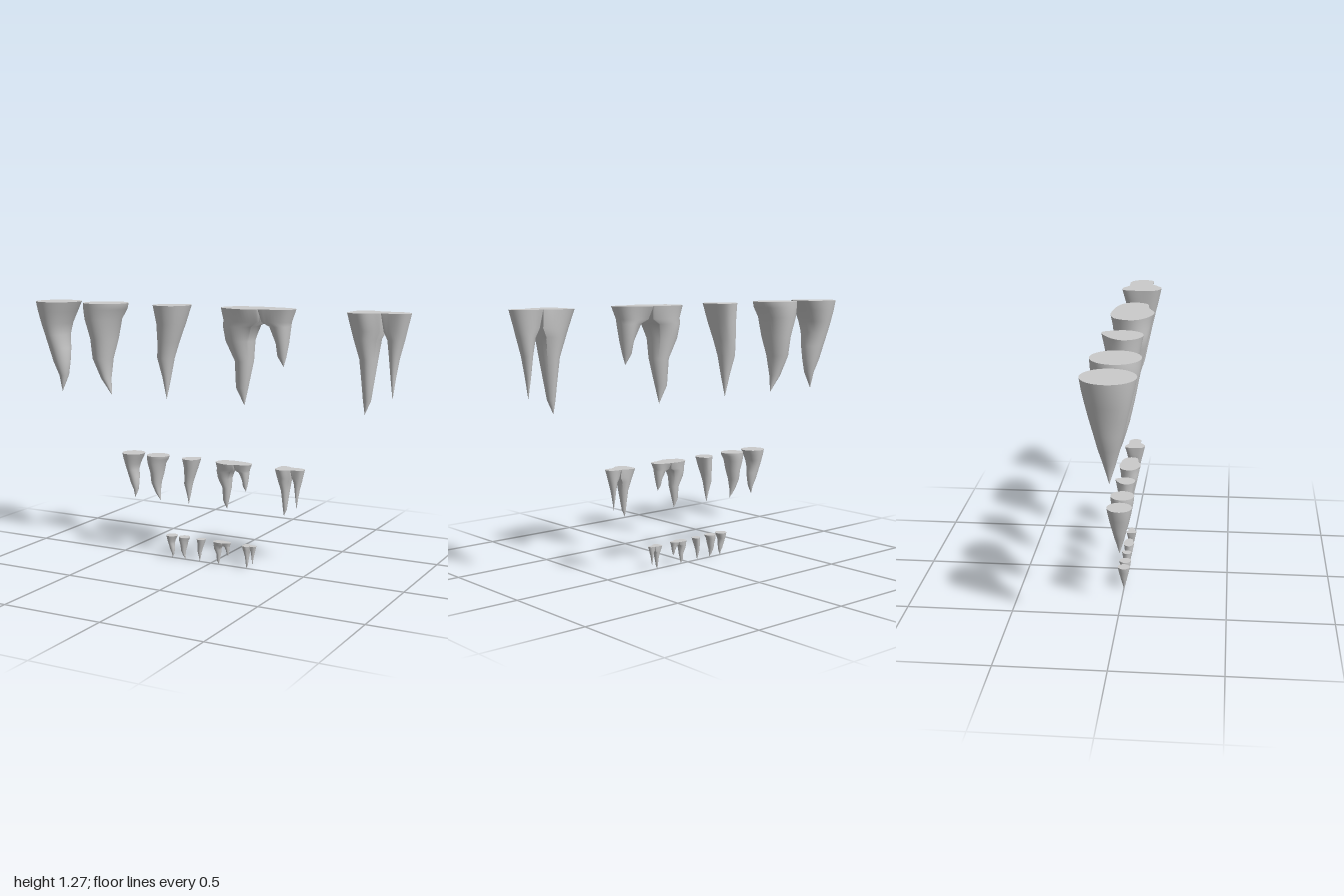
import * as THREE from 'three';

const TOP = 1.27, SEG = 56;
const material = new THREE.MeshStandardMaterial({ color: 0xcccccc });

// Smooth closed outline of a base, from a few [x, z] points (left, back, right, front)
function outline(points) {
  const curve = new THREE.CatmullRomCurve3(points.map(([x, z]) => new THREE.Vector3(x, 0, z)), true);
  return curve.getSpacedPoints(SEG).slice(0, SEG).map(p => [p.x, p.z]);
}

const round = (x0, x1, z0, z1) => outline(Array.from({ length: 12 }, (_, i) => {
  const a = Math.PI + i * Math.PI / 6;
  return [(x0 + x1) / 2 + Math.cos(a) * (x1 - x0) / 2, (z0 + z1) / 2 + Math.sin(a) * (z1 - z0) / 2];
}));

// Keep the part of an outline on one side of x = cut, closing it with a straight wall
function half(points, cut, side) {
  const zs = points.filter(p => (p[0] - cut) * side > 0).map(p => p[1]);
  const lo = Math.min(...zs), hi = Math.max(...zs);
  return points.map(([x, z]) => [
    side > 0 ? Math.max(x, cut) : Math.min(x, cut),
    Math.min(hi, Math.max(lo, z)),
  ]);
}

// Loft from the base outline down through rings [y, left x, right x, depth factor]
function spike(base, rings) {
  const xs = base.map(p => p[0]), zs = base.map(p => p[1]);
  const x0 = Math.min(...xs), x1 = Math.max(...xs), z0 = Math.min(...zs), z1 = Math.max(...zs);
  const unit = base.map(([x, z]) => [(2 * x - x0 - x1) / (x1 - x0), (2 * z - z0 - z1) / (z1 - z0)]);
  const levels = [[TOP, x0, x1, 1], ...rings];
  const pos = [], idx = [];
  for (const [y, a, b, f] of levels) {
    const w = Math.min(1, (TOP - y) / 0.16); // outline turns into an ellipse lower down
    for (const [u, v] of unit) {
      const s = 1 - w + w / Math.max(0.2, Math.hypot(u, v));
      pos.push((a + b) / 2 + u * s * (b - a) / 2, y - TOP,
        f * ((z0 + z1) / 2 + v * s * (z1 - z0) / 2));
    }
  }
  for (let k = 0; k < levels.length - 1; k++) {
    for (let i = 0; i < SEG; i++) {
      const j = (i + 1) % SEG, a = k * SEG, b = a + SEG;
      idx.push(a + i, a + j, b + i, a + j, b + j, b + i);
    }
  }
  // flat cap with its own vertices, so the rim stays sharp
  const start = pos.length / 3;
  for (const [x, z] of base) pos.push(x, 0, z);
  pos.push((x0 + x1) / 2, 0, (z0 + z1) / 2);
  for (let i = 0; i < SEG; i++) idx.push(start + SEG, start + (i + 1) % SEG, start + i);
  const geo = new THREE.BufferGeometry();
  geo.setAttribute('position', new THREE.Float32BufferAttribute(pos, 3));
  geo.setIndex(idx);
  geo.computeVertexNormals();
  return geo;
}

export function createModel() {
  const wide = outline([[0.064, 0], [0.096, -0.072], [0.176, -0.1], [0.283, -0.094], [0.369, -0.078],
    [0.42, -0.05], [0.442, 0], [0.417, 0.06], [0.326, 0.078], [0.22, 0.11], [0.128, 0.083], [0.075, 0.04]]);
  const forked = outline([[0.717, 0], [0.733, -0.09], [0.79, -0.092], [0.845, -0.064], [0.94, -0.064],
    [0.984, -0.035], [0.997, 0.01], [0.973, 0.054], [0.888, 0.06], [0.797, 0.11], [0.727, 0.08]]);
  const uneven = outline([[-0.31, 0], [-0.27, -0.06], [-0.17, -0.105], [-0.133, -0.04], [-0.13, 0.02],
    [-0.165, 0.075], [-0.22, 0.09], [-0.285, 0.06]]);

  const parts = {
    straightSpike: spike(round(-1, -0.765, -0.12, 0.115), [
      [1.22, -0.988, -0.79, 0.92], [1.16, -0.97, -0.82, 0.8], [1.1, -0.95, -0.835, 0.68],
      [1.03, -0.932, -0.827, 0.54], [0.96, -0.912, -0.828, 0.4], [0.89, -0.882, -0.835, 0.23],
      [0.805, -0.87, -0.87, 0]]),
    curvedSpike: spike(round(-0.71, -0.48, -0.112, 0.112), [
      [1.24, -0.71, -0.487, 0.98], [1.19, -0.702, -0.52, 0.92], [1.09, -0.672, -0.54, 0.75],
      [0.99, -0.666, -0.567, 0.55], [0.89, -0.624, -0.575, 0.28], [0.805, -0.567, -0.567, 0]]),
    slimSpike: spike(uneven, [
      [1.18, -0.292, -0.153, 0.8], [1.09, -0.29, -0.184, 0.6], [1.01, -0.294, -0.208, 0.45],
      [0.915, -0.267, -0.225, 0.25], [0.805, -0.246, -0.246, 0]]),
    wideSpikeLongLeg: spike(half(wide, 0.29, -1), [
      [1.21, 0.078, 0.29, 0.88], [1.185, 0.076, 0.248, 0.84], [1.115, 0.09, 0.231, 0.7],
      [1.02, 0.138, 0.226, 0.5], [0.89, 0.14, 0.2, 0.26], [0.805, 0.182, 0.182, 0]]),
    wideSpikeShortLeg: spike(half(wide, 0.29, 1), [
      [1.21, 0.29, 0.42, 0.78], [1.19, 0.327, 0.416, 0.7], [1.11, 0.348, 0.406, 0.45],
      [1.05, 0.354, 0.397, 0.25], [1, 0.385, 0.385, 0]]),
    forkedSpikeLongLeg: spike(half(forked, 0.877, -1), [
      [1.19, 0.73, 0.877, 0.84], [1.15, 0.739, 0.857, 0.75], [1.06, 0.765, 0.845, 0.56],
      [0.955, 0.775, 0.83, 0.36], [0.87, 0.782, 0.818, 0.2], [0.805, 0.79, 0.79, 0]]),
    forkedSpikeShortLeg: spike(half(forked, 0.877, 1), [
      [1.19, 0.877, 0.978, 0.8], [1.15, 0.892, 0.968, 0.7], [1.07, 0.9, 0.947, 0.5],
      [0.98, 0.909, 0.932, 0.28], [0.88, 0.92, 0.92, 0]]),
  };

  // The same set in three sizes, one above the other
  const model = new THREE.Group();
  model.name = 'hangingSpikes';
  for (const [name, y, scale] of [['largeRow', 1.27, 1], ['mediumRow', 0.52, 0.5], ['smallRow', 0.117, 0.25]]) {
    const row = new THREE.Group();
    row.name = name;
    row.position.y = y;
    row.scale.setScalar(scale);
    for (const [part, geo] of Object.entries(parts)) {
      const mesh = new THREE.Mesh(geo, material);
      mesh.name = part;
      row.add(mesh);
    }
    model.add(row);
  }
  return model;
}
